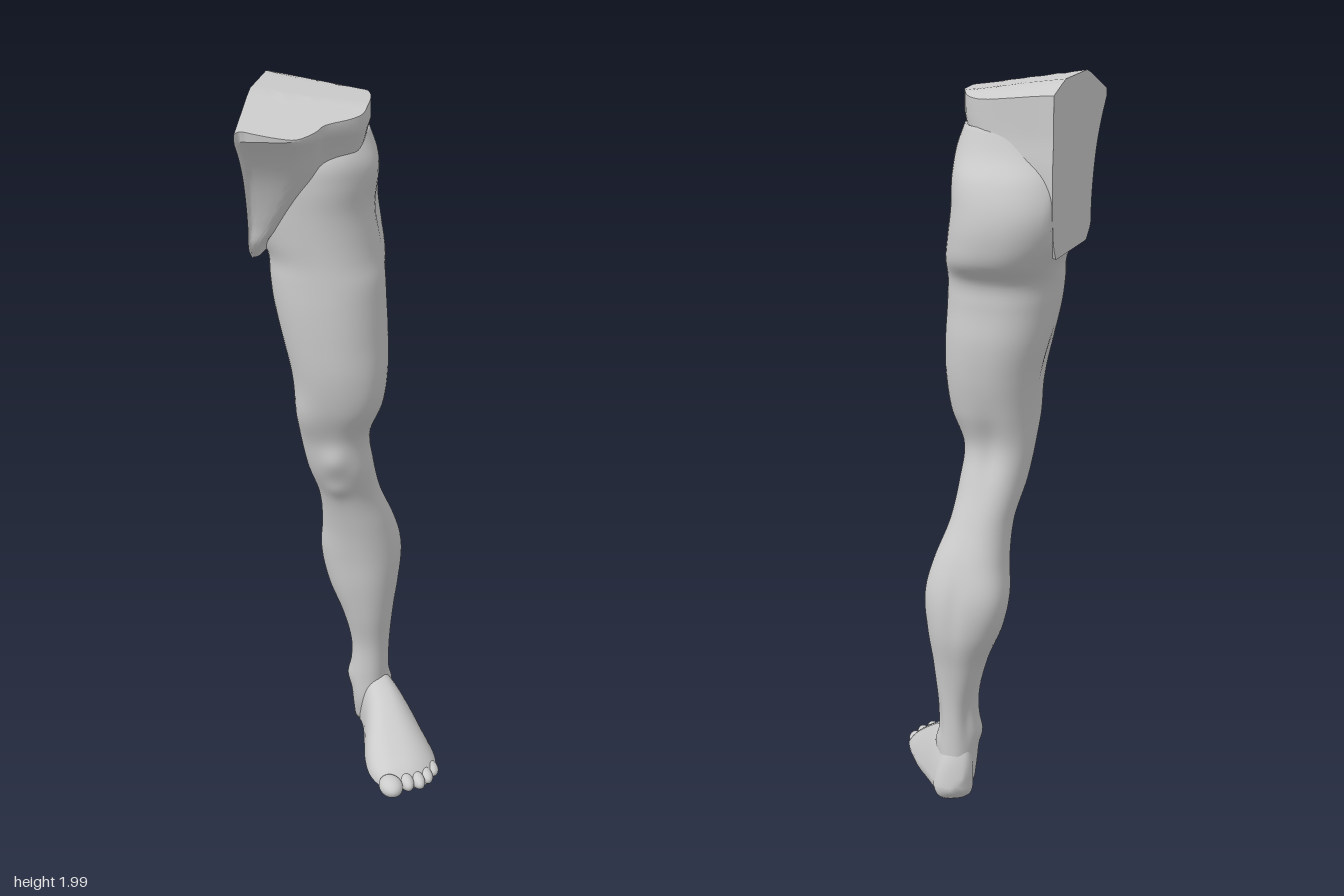
import * as THREE from 'three';
import { toCreasedNormals } from 'three/addons/utils/BufferGeometryUtils.js';

const CUT = -0.25; // flat plane at the middle of the body
const material = new THREE.MeshStandardMaterial({ color: 0xcccccc });

// Skin a list of closed loops (arrays of Vector3), closing both ends with fans.
function loft(rings) {
  const n = rings[0].length, pos = [], idx = [];
  rings.forEach(r => r.forEach(p => pos.push(p.x, p.y, p.z)));
  for (let j = 0; j < rings.length - 1; j++) {
    for (let i = 0; i < n; i++) {
      const a = j * n + i, b = j * n + (i + 1) % n;
      idx.push(a, a + n, b, b, a + n, b + n);
    }
  }
  [0, rings.length - 1].forEach((j, end) => {
    const c = rings[j].reduce((s, p) => s.add(p), new THREE.Vector3()).divideScalar(n);
    const k = pos.length / 3;
    pos.push(c.x, c.y, c.z);
    for (let i = 0; i < n; i++) {
      const a = j * n + i, b = j * n + (i + 1) % n;
      end ? idx.push(k, b, a) : idx.push(k, a, b);
    }
  });
  const g = new THREE.BufferGeometry();
  g.setAttribute('position', new THREE.Float32BufferAttribute(pos, 3));
  g.setIndex(idx);
  g.computeVertexNormals();
  return g;
}

// Smooth sampler over rows whose first value is the station.
function sampler(rows) {
  const f = new THREE.CubicInterpolant(rows.map(r => r[0]), rows.flatMap(r => r.slice(1)), rows[0].length - 1);
  return t => Array.from(f.evaluate(t));
}

const power = (v, e) => Math.sign(v) * Math.abs(v) ** e;

// Leg from ankle to hip: y, xMin, xMax, zMin, zMax
const legRows = [
  [0.05, -0.025, 0.06, -0.24, -0.12],
  [0.12, -0.03, 0.07, -0.238, -0.1],
  [0.2, -0.035, 0.072, -0.238, -0.1],
  [0.3, -0.035, 0.075, -0.242, -0.1],
  [0.4, -0.06, 0.085, -0.255, -0.082],
  [0.5, -0.1, 0.098, -0.275, -0.068],
  [0.6, -0.12, 0.102, -0.273, -0.06],
  [0.7, -0.113, 0.085, -0.245, -0.045],
  [0.8, -0.115, 0.055, -0.203, -0.02],
  [0.9, -0.138, 0.043, -0.165, 0.025],
  [1.0, -0.155, 0.037, -0.142, 0.042],
  [1.1, -0.163, 0.076, -0.165, 0.08],
  [1.2, -0.178, 0.09, -0.185, 0.1],
  [1.3, -0.203, 0.09, -0.195, 0.105],
  [1.4, -0.223, 0.085, -0.192, 0.105],
  [1.47, -0.232, 0.08, -0.2, 0.102],
  [1.52, -0.24, 0.072, -0.248, 0.1],
  [1.58, -0.27, 0.064, -0.268, 0.102],
  [1.66, -0.29, 0.056, -0.27, 0.106],
  [1.74, -0.28, 0.06, -0.245, 0.11],
  [1.8, -0.26, 0.055, -0.205, 0.105],
  [1.87, -0.22, 0.03, -0.175, 0.07],
];

// Muscles, bones and hollows: x, y, z, radius, height radius, amount
const bumps = [
  [-0.045, 0.94, 0.04, 0.035, 0.04, 0.012],   // kneecap
  [-0.045, 0.84, 0.0, 0.03, 0.03, 0.008],     // below kneecap
  [-0.13, 1.07, 0.04, 0.045, 0.07, 0.012],    // inner thigh teardrop
  [0.06, 1.15, 0.05, 0.045, 0.1, 0.006],      // outer thigh
  [0.085, 1.28, -0.09, 0.03, 0.2, -0.012],    // groove beside hamstring
  [-0.19, 1.25, -0.02, 0.035, 0.12, -0.01],   // inner thigh groove
  [-0.06, 1.0, -0.15, 0.035, 0.1, -0.012],    // hollow behind knee
  [-0.09, 0.6, -0.22, 0.05, 0.1, 0.012],      // inner calf
  [0.075, 0.62, -0.21, 0.05, 0.1, 0.008],     // outer calf
  [0.0, 0.58, -0.28, 0.02, 0.12, -0.006],     // calf division
  [-0.07, 0.38, -0.17, 0.04, 0.08, -0.006],
  [-0.035, 0.19, -0.15, 0.03, 0.03, 0.01],    // ankle bones
  [0.07, 0.16, -0.18, 0.03, 0.03, 0.012],
  [-0.03, 0.24, -0.22, 0.025, 0.07, -0.01],   // hollows beside heel tendon
  [0.07, 0.24, -0.225, 0.025, 0.07, -0.01],
  [0.06, 1.66, -0.11, 0.05, 0.09, -0.018],    // hip hollow
  [0.055, 1.77, 0.0, 0.05, 0.05, 0.008],      // hip bone
];

function legGeometry() {
  const at = sampler(legRows), rings = [], n = 64, m = 150;
  const y0 = legRows[0][0], y1 = legRows.at(-1)[0];
  for (let j = 0; j <= m; j++) {
    const y = y0 + (y1 - y0) * j / m;
    const [xa, xb, za, zb] = at(y), cx = (xa + xb) / 2, cz = (za + zb) / 2;
    rings.push(Array.from({ length: n }, (_, i) => {
      const a = i / n * Math.PI * 2;
      const p = new THREE.Vector3(
        cx + power(Math.cos(a), 0.9) * (xb - xa) / 2, y, cz + power(Math.sin(a), 0.9) * (zb - za) / 2);
      const out = new THREE.Vector3(p.x - cx, 0, p.z - cz).normalize();
      let d = 0;
      for (const [bx, by, bz, r, ry, amt] of bumps) {
        d += amt * Math.exp(-((p.x - bx) ** 2 + (p.z - bz) ** 2) / (r * r) - ((y - by) / ry) ** 2);
      }
      p.addScaledVector(out, d);
      p.x = Math.max(p.x, CUT + 0.001);
      return p;
    }));
  }
  return loft(rings);
}

// Half pelvis: rim outline from back to front, in units of width and depth
const rim = new THREE.SplineCurve([
  [0, 0], [0.17, 0.02], [0.41, 0.035], [0.68, 0.06], [0.85, 0.13], [0.95, 0.25], [0.99, 0.36], [1, 0.54],
  [0.92, 0.63], [0.71, 0.74], [0.64, 0.82], [0.51, 0.91], [0.35, 0.94], [0.17, 0.955], [0.04, 0.965], [0, 1],
].map(p => new THREE.Vector2(...p)));

const topHeight = (x, z) =>
  1.995 - 0.15 * (x - CUT) - 0.4 * Math.max(0, z + 0.2 * (x - CUT) - 0.1) - 0.3 * Math.max(0, -z - 0.1);

function pelvisGeometry() {
  // y, width, zBack, zFront
  const rows = [
    [1.54, 0.025, -0.17, 0.1], [1.575, 0.045, -0.19, 0.14], [1.63, 0.11, -0.2, 0.145], [1.7, 0.185, -0.205, 0.16],
    [1.78, 0.255, -0.205, 0.19], [1.85, 0.28, -0.2, 0.235], [1.9, 0.295, -0.2, 0.28],
  ];
  const at = sampler(rows), outline = rim.getPoints(60), rings = [], m = 24;
  const ring = (y, w, zb, zf) => outline.map(p =>
    new THREE.Vector3(Math.max(CUT, CUT + p.x * w), y, zb + p.y * (zf - zb)));
  for (let j = 0; j <= m; j++) {
    const y = 1.54 + 0.36 * j / m;
    rings.push(ring(y, ...at(y)));
  }
  // Sloping top surface, shrinking towards the middle of the cut
  for (const s of [1, 0.97, 0.85, 0.7, 0.55, 0.4, 0.25, 0.1, 0.01]) {
    const top = ring(0, 0.295 * s, 0.03 - 0.23 * s, 0.03 + 0.25 * s);
    top.forEach(p => { p.y = topHeight(p.x, p.z); });
    rings.push(top);
  }
  return toCreasedNormals(loft(rings), 0.7);
}

// Foot, built along its own axis and turned outwards: t, inner, outer, height
const footRows = [
  [-0.058, -0.015, 0.018, 0.08], [-0.045, -0.04, 0.045, 0.13], [0, -0.055, 0.06, 0.19],
  [0.07, -0.06, 0.077, 0.2], [0.13, -0.068, 0.09, 0.175], [0.2, -0.085, 0.097, 0.145],
  [0.27, -0.102, 0.1, 0.112], [0.33, -0.106, 0.092, 0.083], [0.38, -0.093, 0.066, 0.06], [0.405, -0.075, 0.04, 0.04],
];

function footGeometry() {
  const at = sampler(footRows), rings = [], n = 40, m = 50;
  for (let j = 0; j <= m; j++) {
    const t = -0.058 + 0.463 * j / m, [a, b, h] = at(t);
    const low = 0.008 + 0.03 * Math.max(0, -t - 0.035) / 0.023;
    rings.push(Array.from({ length: n }, (_, i) => {
      const q = i / n * Math.PI * 2, v = power(Math.sin(q), 0.75);
      const up = Math.max(0, v), narrow = 1 - 0.25 * up;
      // inner arch lifts off the ground at mid foot
      const arch = 0.025 * Math.max(0, Math.cos(q)) * Math.max(0, -v) * Math.exp(-(((t - 0.15) / 0.08) ** 2));
      const s = (a + b) / 2 - 0.015 * up - power(Math.cos(q), 0.75) * (b - a) / 2 * narrow;
      const mid = low + (h - low) * 0.3;
      return new THREE.Vector3(s, mid + (v > 0 ? v * (h - mid) : v * (mid - low)) + arch, t);
    }));
  }
  return loft(rings);
}

export function createModel() {
  const model = new THREE.Group();
  model.name = 'leg';
  const add = (name, geometry, parent = model) => {
    const mesh = new THREE.Mesh(geometry, material);
    mesh.name = name;
    parent.add(mesh);
    return mesh;
  };
  add('thighAndShin', legGeometry());
  add('pelvis', pelvisGeometry());

  const foot = new THREE.Group();
  foot.name = 'foot';
  foot.position.set(0.025, 0, -0.2);
  foot.rotation.y = 0.453;
  model.add(foot);
  add('footBody', footGeometry(), foot);

  // Toes from big to little: side, forward, width, height, length
  [
    [-0.068, 0.417, 0.033, 0.027, 0.046],
    [-0.017, 0.397, 0.02, 0.022, 0.042],
    [0.017, 0.396, 0.019, 0.021, 0.04],
    [0.047, 0.375, 0.019, 0.02, 0.038],
    [0.073, 0.342, 0.02, 0.019, 0.036],
  ].forEach(([s, t, w, h, l], i) => {
    const toe = add(i ? 'toe' + (i + 1) : 'bigToe', new THREE.SphereGeometry(1, 24, 16), foot);
    toe.position.set(s, h + 0.008, t);
    toe.scale.set(w, h, l);
  });
  return model;
}
